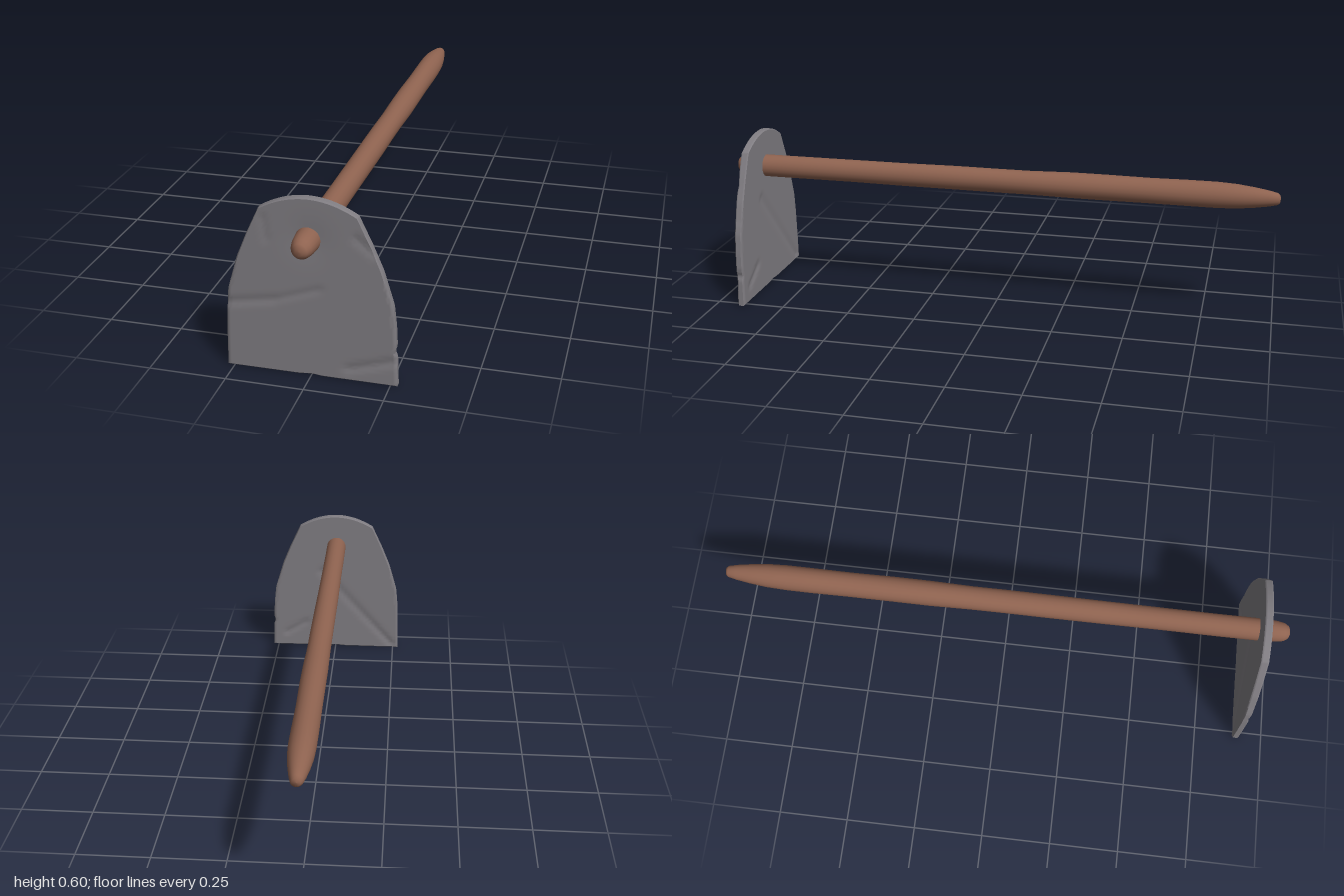
import * as THREE from 'three';
import { toCreasedNormals } from 'three/addons/utils/BufferGeometryUtils.js';

const metal = new THREE.MeshStandardMaterial({ color: 0x807d82 });
const wood = new THREE.MeshStandardMaterial({ color: 0x8f6350 });

// Half width of the blade by height
const WIDTHS = [[0, 0.272], [0.1, 0.27], [0.2, 0.266], [0.27, 0.259], [0.38, 0.227], [0.46, 0.194], [0.55, 0.152]];
function halfWidth(y) {
  for (let i = 1; i < WIDTHS.length; i++) {
    const [y0, w0] = WIDTHS[i - 1], [y1, w1] = WIDTHS[i];
    if (y <= y1 || i === WIDTHS.length - 1) return w0 + (w1 - w0) * (y - y0) / (y1 - y0);
  }
}

// Hammered grooves on each face: [x0, y0, x1, y1, depth, width]
const FRONT = [[-0.28, 0.22, -0.11, 0.25, 0.004, 0.014], [-0.11, 0.25, 0.03, 0.3, 0.003, 0.012],
  [0.12, 0.04, 0.28, 0.09, 0.004, 0.016], [0.15, 0.48, 0.2, 0.44, 0.003, 0.016], [-0.14, 0.52, -0.13, 0.45, 0.002, 0.012],
  [0, 0.46, 0, 0.46, 0.004, 0.06]];
const BACK = [[0.06, 0.35, -0.24, 0.02, 0.005, 0.014], [0.21, 0.06, 0.13, 0.11, 0.004, 0.014]];
function dent(grooves, x, y) {
  let depth = 0;
  for (const [x0, y0, x1, y1, d, w] of grooves) {
    const dx = x1 - x0, dy = y1 - y0;
    const k = THREE.MathUtils.clamp(((x - x0) * dx + (y - y0) * dy) / (dx * dx + dy * dy || 1), 0, 1);
    const r = Math.hypot(x - x0 - k * dx, y - y0 - k * dy) / w;
    depth = Math.max(depth, d * Math.exp(-r * r));
  }
  return depth;
}

// Blade: closed loops stacked from the cutting edge to the arched top
function bladeGeometry() {
  const cols = 48, rows = 70, half = 0.0135, n = 2 * (cols + 1);
  const ease = (v) => 0.5 * v + 0.5 * Math.sin(v * Math.PI / 2);
  const pos = [], index = [];
  for (let j = 0; j <= rows; j++) {
    const t = (ease(2 * j / rows - 1) + 1) / 2;
    for (let i = 0; i < n; i++) {
      const front = i <= cols;
      const c = front ? i : n - 1 - i;
      const s = ease(2 * c / cols - 1);
      const sideY = 0.55 * t;
      let x = s * halfWidth(sideY);
      let y = t * (0.55 + 0.047 * (1 - s * s));
      // Chips in the right side and in the cutting edge
      if (s > 0.9) x -= 0.006 * (s - 0.9) * 10 * Math.exp(-(((sideY - 0.115) / 0.012) ** 2));
      y += 0.004 * Math.exp(-((s / 0.08) ** 2)) * (1 - t) ** 8;
      const rim = j === 0 || j === rows || c === 0 || c === cols;
      const z = half * (rim ? 0.65 : 1) - dent(front ? FRONT : BACK, x, y);
      pos.push(x, y, front ? z : -z);
    }
  }
  for (let j = 0; j < rows; j++) {
    for (let i = 0; i < n; i++) {
      const a = j * n + i, b = j * n + (i + 1) % n;
      index.push(a, b, b + n, a, b + n, a + n);
    }
  }
  // Bottom and top rims join the two faces
  for (let i = 0; i < cols; i++) {
    const m = n - 1 - i, o = rows * n;
    index.push(i, m, m - 1, i, m - 1, i + 1);
    index.push(o + i, o + i + 1, o + m - 1, o + i, o + m - 1, o + m);
  }
  const g = new THREE.BufferGeometry();
  g.setAttribute('position', new THREE.Float32BufferAttribute(pos, 3));
  g.setIndex(index);
  return toCreasedNormals(g, 0.8);
}

// Handle: a turned stick along z, slightly uneven like carved wood
function handleGeometry() {
  const profile = [[0, -1], [0.014, -0.998], [0.021, -0.99], [0.028, -0.96], [0.036, -0.91], [0.043, -0.85],
    [0.046, -0.78], [0.046, -0.68], [0.045, -0.55], [0.046, -0.4], [0.046, -0.27], [0.043, -0.12], [0.043, 0],
    [0.043, 0.15], [0.042, 0.35], [0.041, 0.55], [0.041, 0.75], [0.041, 0.92], [0.038, 0.955], [0.033, 0.98],
    [0.024, 0.994], [0.013, 0.999], [0, 1]];
  const g = new THREE.LatheGeometry(profile.map(([r, z]) => new THREE.Vector2(r, z)), 20);
  g.rotateX(Math.PI / 2);
  const p = g.attributes.position;
  for (let i = 0; i < p.count; i++) {
    const z = p.getZ(i), a = Math.atan2(p.getY(i), p.getX(i));
    const k = 1 + 0.02 * Math.sin(3 * a + 5 * z) * Math.cos(9 * z);
    p.setXY(i, p.getX(i) * k * 0.96, p.getY(i) * k);
  }
  g.computeVertexNormals();
  return g;
}

export function createModel() {
  const group = new THREE.Group();
  group.name = 'hoe';

  const blade = new THREE.Mesh(bladeGeometry(), metal);
  blade.name = 'blade';
  blade.position.z = 0.904;

  const handle = new THREE.Mesh(handleGeometry(), wood);
  handle.name = 'handle';
  handle.position.set(-0.001, 0.462, 0);

  group.add(blade, handle);
  return group;
}
